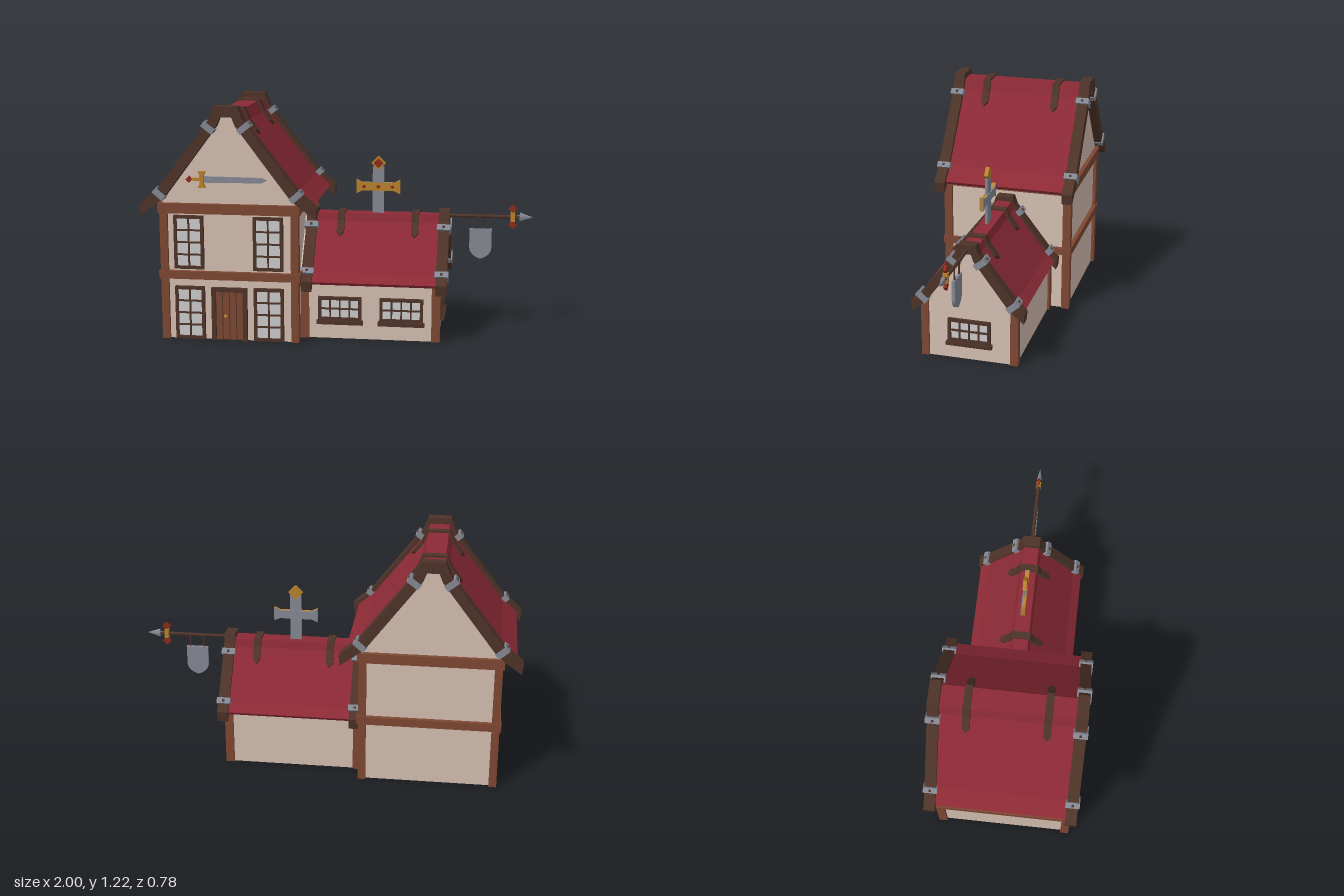
import * as THREE from 'three';

const mat = (color) => new THREE.MeshStandardMaterial({ color, flatShading: true });
const M = {
  wall: mat(0xd6bfb1), roof: mat(0x8c2a35), beam: mat(0x7e4733), dark: mat(0x4e3328),
  metal: mat(0x858994), gold: mat(0xb8822c), red: mat(0x8e2c1c), glass: mat(0xcccccc),
};

function add(parent, name, geo, material, x = 0, y = 0, z = 0) {
  const m = new THREE.Mesh(geo, material);
  m.name = name;
  m.position.set(x, y, z);
  parent.add(m);
  return m;
}
const box = (p, name, material, w, h, d, x, y, z) =>
  add(p, name, new THREE.BoxGeometry(w, h, d), material, x, y, z);
const toShape = (pts) => new THREE.Shape(pts.map(([x, y]) => new THREE.Vector2(x, y)));
const extrude = (shape, depth) =>
  new THREE.ExtrudeGeometry(shape, { depth, bevelEnabled: false, curveSegments: 6 });
const plate = (p, name, material, pts, depth, x, y, z) =>
  add(p, name, extrude(toShape(pts), depth), material, x, y, z);
const mirror = (pts) => pts.map(([x, y]) => [-x, y]).reverse();
// Closed symmetric band between an outer and an inner half profile (ridge to eave)
const band = (outer, inner) =>
  [...mirror(outer), ...outer, ...[...inner].reverse(), ...mirror(inner).reverse()];
const diamond = (r) => [[0, -r], [r, 0], [0, r], [-r, 0]];

// Window standing on its lower edge, facing +z
function makeWindow(parent, name, w, h, cols, rows, sill, x, y, z, turn = 0) {
  const g = new THREE.Group();
  g.name = name;
  g.position.set(x, y, z);
  g.rotation.y = turn;
  const frame = toShape([[-w / 2, 0], [w / 2, 0], [w / 2, h], [-w / 2, h]]);
  const edge = 0.016, bar = 0.008;
  const pw = (w - 2 * edge - (cols - 1) * bar) / cols, ph = (h - 2 * edge - (rows - 1) * bar) / rows;
  for (let c = 0; c < cols; c++) for (let r = 0; r < rows; r++) {
    const a = -w / 2 + edge + c * (pw + bar), b = edge + r * (ph + bar);
    frame.holes.push(new THREE.Path([[a, b], [a, b + ph], [a + pw, b + ph], [a + pw, b]]
      .map(([u, v]) => new THREE.Vector2(u, v))));
  }
  add(g, 'windowFrame', extrude(frame, 0.02), M.dark);
  box(g, 'windowGlass', M.glass, w - 0.01, h - 0.01, 0.008, 0, h / 2, 0.006);
  if (sill) box(g, 'windowSill', M.dark, w + 0.016, 0.02, 0.032, 0, -0.01, 0.014);
  parent.add(g);
}

// Strap folded over the ridge, with pointed ends lying on both slopes
function makeStrap(parent, roof, z) {
  const g = new THREE.Group();
  g.name = 'ridgeStrap';
  g.position.z = z;
  const [top, knee, eave] = roof, w = 0.019;
  const cap = [[top[0] + 0.009, top[1] + 0.011], [knee[0] + 0.013, knee[1] + 0.008]];
  add(g, 'strapCap', extrude(toShape(band(cap, [top, knee])), 2 * w), M.dark, 0, 0, -w);
  const down = new THREE.Vector3(eave[0] - knee[0], eave[1] - knee[1], 0).normalize();
  const normal = new THREE.Vector3(-down.y, down.x, 0);
  const basis = new THREE.Matrix4()
    .makeBasis(new THREE.Vector3(0, 0, -1), down.clone().negate(), normal)
    .setPosition(knee[0], knee[1], 0);
  for (const turn of [0, Math.PI]) {
    const geo = extrude(toShape([[-w, 0], [-w, -0.068], [0, -0.092], [w, -0.068], [w, 0]]), 0.014);
    add(g, 'strapEnd', geo.applyMatrix4(basis), M.dark).rotation.y = turn;
  }
  parent.add(g);
}

// Gabled building with its ridge along z
function makeBuilding(name, o) {
  const g = new THREE.Group();
  g.name = name;
  const [w0, w1] = o.wallZ, [t0, t1] = o.trimZ, tw = 0.057;
  plate(g, 'walls', M.wall, [...mirror(o.wall), ...o.wall], w1 - w0, 0, 0, w0);
  plate(g, 'roof', M.roof, band(o.roof, o.roofInner), t1 - t0 - 2 * tw + 0.01, 0, 0, t0 + tw - 0.005);
  for (const z of [t0, t1 - tw]) {
    plate(g, 'gableTrim', M.dark, band(o.trim, o.trimInner), tw, 0, 0, z);
    // Metal clamps around the trim
    for (const [x, y, a] of o.clamps) for (const s of [-1, 1]) {
      const c = new THREE.Group();
      c.name = 'trimClamp';
      c.position.set(s * x, y, z + tw / 2);
      c.rotation.z = -s * a;
      box(c, 'clampBand', M.metal, 0.032, 0.068, tw + 0.014, 0, 0, 0).rotation.z = 0;
      box(c, 'clampBolt', M.dark, 0.012, 0.074, 0.012, 0, 0, 0);
      c.rotation.z = -s * a;
      g.add(c);
    }
  }
  const [px, pz0, pz1, ph] = o.posts, pw = 0.04;
  for (const s of [-1, 1]) for (const z of [pz0 + pw / 2, pz1 - pw / 2])
    box(g, 'cornerPost', M.beam, pw, ph, pw + 0.004, s * (px - pw / 2), ph / 2, z);
  for (const z of o.straps) makeStrap(g, o.roof, z);
  return g;
}

function makeHouse() {
  const g = makeBuilding('mainHouse', {
    wall: [[0.03, 1.165], [0.05, 1.118], [0.345, 0.73], [0.345, 0]].map((p) => p),
    wallZ: [-0.34, 0.34], trimZ: [-0.382, 0.382],
    trim: [[0.06, 1.22], [0.088, 1.15], [0.365, 0.79], [0.458, 0.71]],
    trimInner: [[0.03, 1.165], [0.048, 1.12], [0.33, 0.745], [0.452, 0.655]],
    roof: [[0.052, 1.188], [0.074, 1.13], [0.35, 0.778], [0.43, 0.71]],
    roofInner: [[0.04, 1.17], [0.056, 1.118], [0.335, 0.757], [0.42, 0.695]],
    clamps: [[0.091, 1.112, 0.91], [0.352, 0.768, 0.85]],
    posts: [0.36, -0.355, 0.355, 0.69], straps: [-0.195, 0.195],
  });
  g.position.x = -0.54;
  // Beams running round each storey
  for (const [y, h] of [[0.343, 0.042], [0.692, 0.052]]) for (const s of [-1, 1]) {
    box(g, 'storeyBeam', M.beam, 0.736, h, 0.04, 0, y, s * 0.343);
    box(g, 'storeyBeam', M.beam, 0.04, h - 0.004, 0.66, s * 0.346, y, 0);
  }
  for (const x of [-0.21, 0.203]) for (const y of [0.002, 0.375])
    makeWindow(g, 'tallWindow', 0.155, 0.28, 2, 4, false, x, y, 0.338);
  // Door
  const door = new THREE.Group();
  door.name = 'door';
  door.position.set(-0.003, 0, 0.338);
  for (const s of [-1, 1]) box(door, 'doorJamb', M.dark, 0.022, 0.28, 0.024, s * 0.082, 0.14, 0.012);
  box(door, 'doorLintel', M.dark, 0.186, 0.022, 0.024, 0, 0.269, 0.012);
  box(door, 'doorBack', M.dark, 0.15, 0.262, 0.008, 0, 0.131, 0.005);
  for (let i = 0; i < 4; i++)
    box(door, 'doorPlank', M.beam, 0.031, 0.25, 0.014, (i - 1.5) * 0.036, 0.13, 0.008);
  add(door, 'doorKnob', new THREE.SphereGeometry(0.01, 8, 6), M.gold, -0.018, 0.13, 0.026);
  g.add(door);
  // Sword hung on the gable
  const sword = new THREE.Group();
  sword.name = 'gableSword';
  sword.position.set(-0.135, 0.843, 0.338);
  plate(sword, 'swordBlade', M.metal, [[0, -0.016], [0.31, -0.013], [0.335, 0], [0.31, 0.013], [0, 0.016]], 0.015);
  box(sword, 'swordRidge', M.metal, 0.3, 0.006, 0.006, 0.15, 0, 0.016);
  plate(sword, 'swordGuard', M.gold, [[-0.02, -0.042], [0.02, -0.042], [0.01, -0.022], [0.01, 0.022],
    [0.02, 0.042], [-0.02, 0.042], [-0.01, 0.022], [-0.01, -0.022]], 0.022);
  box(sword, 'swordGrip', M.gold, 0.06, 0.014, 0.014, -0.035, 0, 0.008);
  plate(sword, 'swordPommel', M.red, diamond(0.017), 0.02, -0.066, 0, 0);
  g.add(sword);
  return g;
}

function makeWing() {
  const g = makeBuilding('wing', {
    wall: [[0.025, 0.6], [0.036, 0.57], [0.243, 0.305], [0.243, 0]],
    wallZ: [-0.2, 0.525], trimZ: [-0.182, 0.569],
    trim: [[0.045, 0.65], [0.062, 0.6], [0.25, 0.358], [0.298, 0.312]],
    trimInner: [[0.022, 0.602], [0.034, 0.567], [0.213, 0.325], [0.292, 0.257]],
    roof: [[0.04, 0.625], [0.053, 0.586], [0.24, 0.347], [0.285, 0.307]],
    roofInner: [[0.028, 0.607], [0.038, 0.575], [0.225, 0.335], [0.276, 0.293]],
    clamps: [[0.07, 0.556, 0.91], [0.236, 0.343, 0.85]],
    posts: [0.255, -0.186, 0.535, 0.318], straps: [0, 0.39],
  });
  g.rotation.y = Math.PI / 2;
  return g;
}

// Cross rising from the wing ridge
function makeCross() {
  const g = new THREE.Group();
  g.name = 'ridgeCross';
  g.position.x = 0.19;
  const bar = [[-0.115, -0.037], [-0.085, -0.022], [0.085, -0.022], [0.115, -0.037],
    [0.115, 0.037], [0.085, 0.022], [-0.085, 0.022], [-0.115, 0.037]];
  box(g, 'crossShaft', M.metal, 0.06, 0.28, 0.014, 0, 0.73, 0);
  plate(g, 'crossBarBack', M.metal, bar, 0.006, 0, 0.765, -0.011);
  plate(g, 'crossBarFront', M.gold, bar, 0.016, 0, 0.765, -0.005);
  for (const x of [-0.075, 0, 0.075]) plate(g, 'crossStud', M.red, diamond(0.011), 0.005, x, 0.765, 0.01);
  plate(g, 'crossFinial', M.gold, diamond(0.038), 0.02, 0, 0.89, -0.01);
  plate(g, 'crossGem', M.red, diamond(0.026), 0.004, 0, 0.89, 0.009);
  return g;
}

// Spear-shaped pole carrying a hanging shield
function makeSign() {
  const g = new THREE.Group();
  g.name = 'signPole';
  g.position.y = 0.62;
  const pole = add(g, 'pole', new THREE.CylinderGeometry(0.009, 0.009, 0.42, 8), M.dark, 0.72, 0, 0);
  pole.rotation.z = -Math.PI / 2;
  const tip = [[0.009, 0], [0.01, 0.02], [0.024, 0.022], [0, 0.09]].map(([x, y]) => new THREE.Vector2(x, y));
  const spear = add(g, 'spearTip', new THREE.LatheGeometry(tip, 8), M.metal, 0.91, 0, 0);
  spear.rotation.z = -Math.PI / 2;
  spear.scale.z = 0.55;
  box(g, 'poleCollar', M.gold, 0.022, 0.05, 0.024, 0.895, 0, 0);
  for (const s of [-1, 1]) {
    plate(g, 'poleGem', M.red, diamond(0.022), 0.014, 0.895, s * 0.043, -0.007);
    box(g, 'shieldHanger', M.dark, 0.007, 0.085, 0.007, 0.73 + s * 0.037, -0.035, 0);
  }
  const shield = new THREE.Shape();
  shield.moveTo(-0.058, 0.08);
  shield.lineTo(-0.058, -0.02);
  shield.quadraticCurveTo(-0.055, -0.062, 0, -0.08);
  shield.quadraticCurveTo(0.055, -0.062, 0.058, -0.02);
  shield.lineTo(0.058, 0.08);
  add(g, 'shield', extrude(shield, 0.016), M.metal, 0.73, -0.148, -0.008);
  return g;
}

export function createModel() {
  const model = new THREE.Group();
  model.name = 'townHouse';
  model.add(makeHouse(), makeWing(), makeCross(), makeSign());
  for (const x of [0.018, 0.337])
    makeWindow(model, 'wingWindow', 0.225, 0.125, 4, 2, true, x, 0.1, 0.241);
  makeWindow(model, 'wingEndWindow', 0.225, 0.125, 4, 2, true, 0.523, 0.1, 0, Math.PI / 2);
  return model;
}
